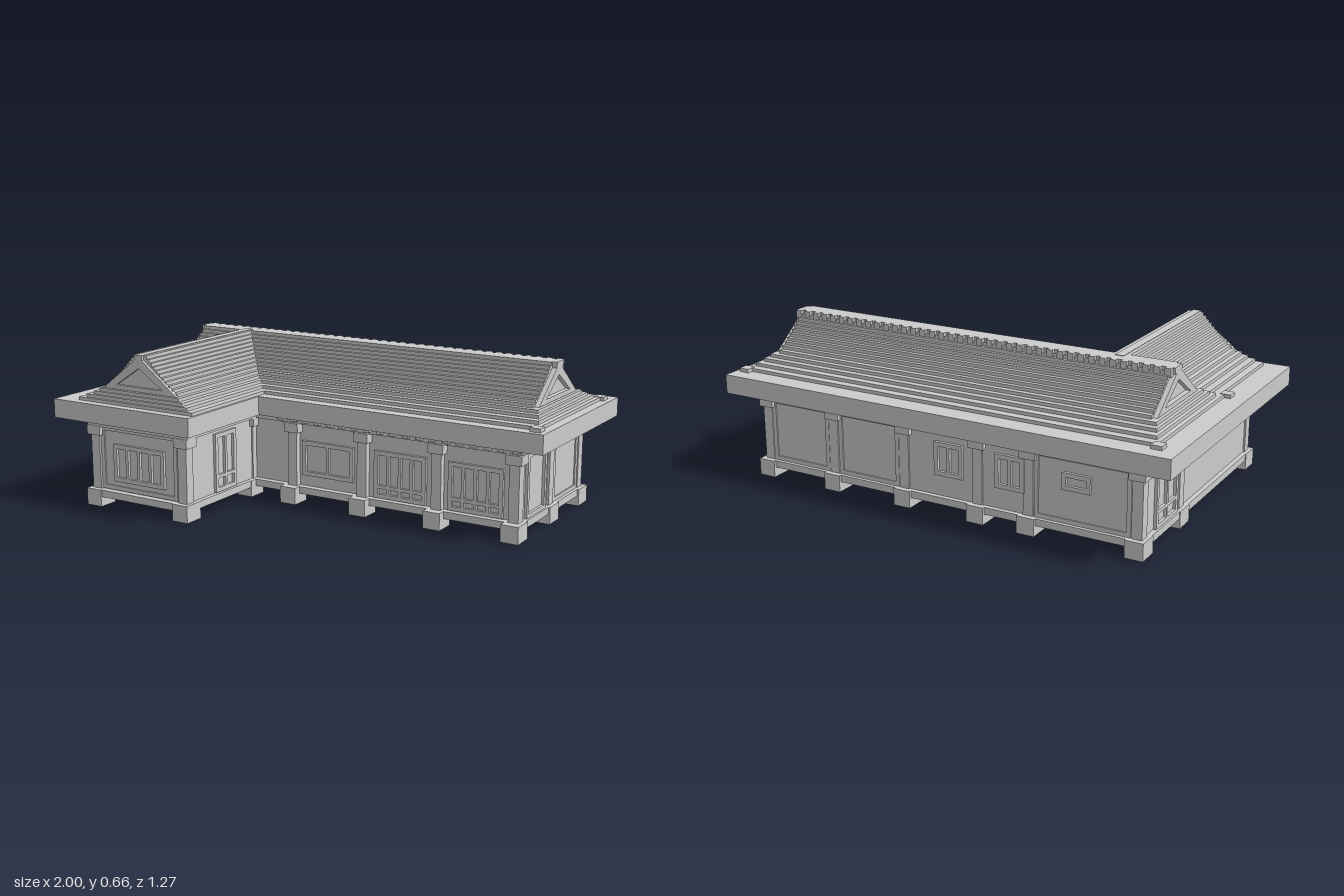
import * as THREE from 'three';

const mat = new THREE.MeshStandardMaterial({ color: 0xcccccc, flatShading: true });

// Box given by its limits on each axis
function block(parent, name, x0, x1, y0, y1, z0, z1) {
  const m = new THREE.Mesh(new THREE.BoxGeometry(x1 - x0, y1 - y0, z1 - z0), mat);
  m.position.set((x0 + x1) / 2, (y0 + y1) / 2, (z0 + z1) / 2);
  m.name = name;
  parent.add(m);
  return m;
}

function group(parent, name) {
  const g = new THREE.Group();
  g.name = name;
  parent.add(g);
  return g;
}

function lerpTable(table, y) {
  for (let i = 1; i < table.length; i++) {
    const [y0, w0] = table[i - 1], [y1, w1] = table[i];
    if (y <= y1) return w0 + (w1 - w0) * (y - y0) / (y1 - y0);
  }
  return table[table.length - 1][1];
}

// Flat L-shaped slab
function lSlab(parent, name, x0, x1, z0, z1, xi, zi, y0, y1) {
  const s = new THREE.Shape([[x0, -z1], [xi, -z1], [xi, -zi], [x1, -zi], [x1, -z0], [x0, -z0]]
    .map(p => new THREE.Vector2(...p)));
  const geo = new THREE.ExtrudeGeometry(s, { depth: y1 - y0, bevelEnabled: false });
  geo.rotateX(-Math.PI / 2);
  const m = new THREE.Mesh(geo, mat);
  m.position.y = y0;
  m.name = name;
  parent.add(m);
}

// Concave roof outline: height, half width
const roofProfile = [[0.45, 0.34], [0.465, 0.3], [0.49, 0.24], [0.53, 0.175], [0.59, 0.1], [0.66, 0.03]];
// Skirt below each gable: height, overhang past the gable
const skirtProfile = [[0.45, 0.07], [0.475, 0.035], [0.51, 0], [0.66, 0]];

// Triangular gable frame with a recessed centre, facing +z
function gableFrame(parent, x, z, angle) {
  const tri = (w, y0, y1) => [[-w, y0], [w, y0], [0, y1]].map(p => new THREE.Vector2(...p));
  const s = new THREE.Shape(tri(0.19, 0.508, 0.655));
  s.holes.push(new THREE.Path(tri(0.12, 0.527, 0.607).reverse()));
  const m = new THREE.Mesh(new THREE.ExtrudeGeometry(s, { depth: 0.02, bevelEnabled: false }), mat);
  m.position.set(x, 0, z);
  m.rotation.y = angle;
  m.name = 'gableFrame';
  parent.add(m);
}

// Stepped courses of tiles
const COURSES = 15;
function tileCourses(parent, place) {
  const h = 0.21 / COURSES;
  for (let i = 0; i < COURSES; i++) {
    const y = 0.45 + i * h;
    const inset = y > 0.505 ? 0.02 : 0;
    place(y, y + h, lerpTable(roofProfile, y + h * 0.5), lerpTable(skirtProfile, y + h * 0.5) - inset, parent);
  }
}

// Framed opening lying on a wall: local x along the wall, z outward
function opening(parent, name, wall, u0, u1, y0, y1, cols, rows = [1], d = 0.012) {
  const g = group(parent, name);
  const [x, z, angle] = wall;
  g.position.set(x, 0, z);
  g.rotation.y = angle;
  const s = new THREE.Shape([[u0, y0], [u1, y0], [u1, y1], [u0, y1]].map(p => new THREE.Vector2(...p)));
  const edge = 0.018, gap = 0.014;
  const cw = (u1 - u0 - 2 * edge - gap * (cols - 1)) / cols;
  const ch = y1 - y0 - 2 * edge - gap * (rows.length - 1);
  for (let c = 0; c < cols; c++) {
    let yb = y0 + edge;
    for (const r of rows) {
      const a = u0 + edge + c * (cw + gap), b = a + cw, t = yb + ch * r;
      s.holes.push(new THREE.Path([[a, yb], [a, t], [b, t], [b, yb]].map(p => new THREE.Vector2(...p))));
      yb = t + gap;
    }
  }
  const m = new THREE.Mesh(new THREE.ExtrudeGeometry(s, { depth: d, bevelEnabled: false }), mat);
  m.name = 'frame';
  g.add(m);
}

export function createModel() {
  const house = new THREE.Group();
  house.name = 'house';

  // Body and floor
  lSlab(house, 'floor', -0.87, 0.9, -0.55, 0.59, -0.345, 0.11, 0.042, 0.072);
  lSlab(house, 'walls', -0.85, 0.88, -0.53, 0.56, -0.365, 0.08, 0.07, 0.38);
  lSlab(house, 'topBeam', -0.87, 0.9, -0.55, 0.58, -0.345, 0.1, 0.342, 0.372);
  lSlab(house, 'eaves', -1, 1, -0.635, 0.635, -0.295, 0.15, 0.37, 0.45);

  // Posts with foundation stones and bracket caps
  const posts = group(house, 'posts');
  const xs = [-0.835, -0.38, -0.155, 0.185, 0.53, 0.87];
  const spots = xs.map(x => [x, -0.515]);
  spots.push([-0.835, -0.17], [0.87, -0.21], [-0.835, 0.55], [-0.38, 0.55]);
  xs.slice(1).forEach(x => spots.push([x, 0.1]));
  for (const [x, z] of spots) {
    block(posts, 'foundationStone', x - 0.038, x + 0.038, 0, 0.072, z - 0.045, z + 0.045);
    const px = THREE.MathUtils.clamp(x, -0.838, 0.868), pz = z > 0.5 ? 0.55 : z > 0 ? 0.085 : z;
    block(posts, 'post', px - 0.022, px + 0.022, 0.07, 0.37, pz - 0.022, pz + 0.022);
    block(posts, 'postCap', px - 0.034, px + 0.034, 0.305, 0.345, pz - 0.034, pz + 0.034);
  }

  // Windows and doors; each wall is [x, z, angle]
  const front = [0, 0.08, 0], wingFront = [0, 0.56, 0], back = [0, -0.53, Math.PI];
  const right = [0.88, 0, Math.PI / 2], left = [-0.85, 0, -Math.PI / 2], inner = [-0.365, 0, Math.PI / 2];
  const o = group(house, 'openings');
  opening(o, 'wingWindow', wingFront, -0.74, -0.475, 0.115, 0.275, 4);
  opening(o, 'wingWallFrame', wingFront, -0.81, -0.41, 0.075, 0.345, 1, [1], 0.006);
  opening(o, 'slidingWindow', front, -0.115, 0.135, 0.12, 0.27, 2);
  for (const x of [0.235, 0.575])
    opening(o, 'latticeDoor', front, x, x + 0.24, 0.075, 0.275, 4, [0.15, 0.85]);
  opening(o, 'wingDoor', inner, -0.38, -0.235, 0.075, 0.325, 2, [0.2, 0.8]);
  opening(o, 'sideDoor', right, -0.03, 0.155, 0.07, 0.335, 1);
  opening(o, 'sideWallFrame', right, 0.24, 0.49, 0.07, 0.36, 1, [1], 0.006);
  opening(o, 'leftDoor', left, -0.42, -0.22, 0.07, 0.335, 2, [0.2, 0.8]);
  opening(o, 'leftVent', left, -0.08, 0.04, 0.25, 0.31, 1);
  for (const u of [0.025, 0.3]) opening(o, 'backWindow', back, u - 0.065, u + 0.065, 0.16, 0.3, 2);
  opening(o, 'backVent', back, 0.525, 0.645, 0.21, 0.28, 1);
  for (let i = 0; i < 5; i++)
    if (i === 0 || i > 2)
      opening(o, 'backWallFrame', back, -xs[i + 1] + 0.025, -xs[i] - 0.025, 0.072, 0.342, 1, [1], 0.005);

  // Rafter ends under the eaves
  const rafters = group(house, 'rafters');
  for (let x = -0.82; x < 0.87; x += 0.06) {
    block(rafters, 'rafter', x, x + 0.025, 0.352, 0.372, -0.59, -0.52);
    if (x > -0.27) block(rafters, 'rafter', x, x + 0.025, 0.352, 0.372, 0.07, 0.12);
  }

  // Main and wing roofs
  const main = group(house, 'mainRoof'), wing = group(house, 'wingRoof');
  tileCourses(main, (y0, y1, w, e) =>
    block(main, 'tileCourse', -0.85 - e, 0.9 + e, y0, y1, -0.225 - w, -0.225 + w));
  tileCourses(wing, (y0, y1, w, e) =>
    block(wing, 'tileCourse', -0.6 - w * 0.92, -0.6 + w * 0.92, y0, y1, -0.22, 0.56 + e * 0.6));
  gableFrame(main, 0.88, -0.225, Math.PI / 2);
  gableFrame(main, -0.83, -0.225, -Math.PI / 2);
  gableFrame(wing, -0.6, 0.54, 0);

  // Ridges with a row of end tiles
  block(main, 'ridge', -0.85, 0.9, 0.635, 0.66, -0.265, -0.2);
  for (let x = -0.84; x < 0.88; x += 0.045)
    block(main, 'ridgeTile', x, x + 0.026, 0.625, 0.66, -0.282, -0.26);
  block(wing, 'ridge', -0.618, -0.582, 0.64, 0.662, -0.22, 0.56);

  // Hip tiles at the roof corners
  for (const [x, z] of [[0.955, -0.55], [0.955, 0.105], [-0.915, -0.55], [-0.915, 0.12]])
    block(main, 'hipTile', x - 0.022, x + 0.022, 0.45, 0.466, z - 0.022, z + 0.022);
  return house;
}
